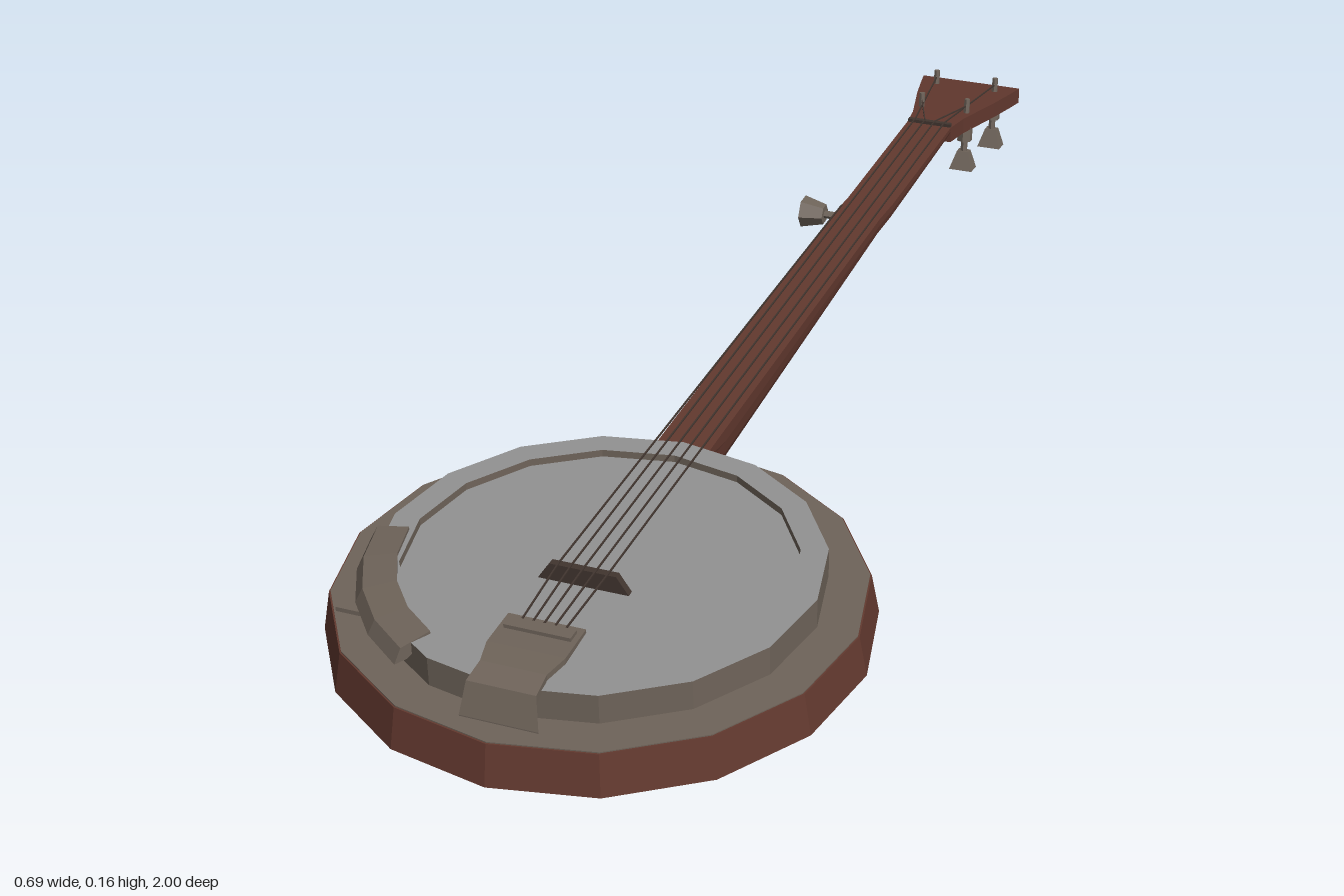
import * as THREE from 'three';

const wood = new THREE.MeshStandardMaterial({ color: 0x63392f });
wood.name = 'dark wood';
const metal = new THREE.MeshStandardMaterial({ color: 0x6f645a });
metal.name = 'aged metal';
const skin = new THREE.MeshStandardMaterial({ color: 0x929292 });
skin.name = 'drum skin';
const dark = new THREE.MeshStandardMaterial({ color: 0x41352f });
dark.name = 'dark bridge wood';

const CZ = 0.655; // centre of the pot
const V = (x, y, z) => new THREE.Vector3(x, y, z);

export function createModel() {
  const model = new THREE.Group();
  model.name = 'banjo';

  // Faceted mesh with hard edges
  function add(name, geometry, material, parent = model) {
    const g = geometry.index ? geometry.toNonIndexed() : geometry;
    g.computeVertexNormals();
    const mesh = new THREE.Mesh(g, material);
    mesh.name = name;
    parent.add(mesh);
    return mesh;
  }

  // Closed skin through rings that run counterclockwise seen from the first end
  function loft(rings) {
    const n = rings[0].length, last = (rings.length - 1) * n, index = [];
    for (let i = 0; i < rings.length - 1; i++) {
      for (let j = 0; j < n; j++) {
        const a = i * n + j, b = i * n + (j + 1) % n, c = b + n, d = a + n;
        index.push(a, c, b, a, d, c);
      }
    }
    for (let j = 1; j < n - 1; j++) {
      index.push(0, j, j + 1, last, last + j + 1, last + j);
    }
    const g = new THREE.BufferGeometry().setFromPoints(rings.flat());
    g.setIndex(index);
    return g;
  }

  // Straight rod between two points
  function rod(name, a, b, width, material, parent = model) {
    const mesh = add(name, new THREE.BoxGeometry(width, width, a.distanceTo(b)), material, parent);
    mesh.position.copy(a).lerp(b, 0.5);
    mesh.lookAt(b);
    return mesh;
  }

  // Pot: wooden back, metal flange, hoop and recessed skin
  const SIDES = 16;
  const back = add('resonator', new THREE.CylinderGeometry(0.336, 0.346, 0.055, SIDES), wood);
  back.position.set(0, 0.0715, CZ);
  const flange = add('flange', new THREE.CylinderGeometry(0.334, 0.334, 0.003, SIDES), metal);
  flange.position.set(0, 0.099, CZ);
  const turned = (name, pts, material) => {
    const g = new THREE.LatheGeometry(pts.map(p => new THREE.Vector2(...p)), SIDES);
    add(name, g, material).position.z = CZ;
  };
  turned('hoopWall', [[0.282, 0.1], [0.282, 0.14]], metal);
  turned('hoopTop', [[0.282, 0.14], [0.247, 0.14]], skin);
  turned('hoopInnerWall', [[0.247, 0.14], [0.247, 0.13]], metal);
  turned('head', [[0.247, 0.13], [0, 0.13]], skin);

  // Neck: flat top, rounded back; stations are z, centre x, half width, top y, bottom y
  const neckRing = ([z, cx, w, top, bottom]) => {
    const ring = [V(cx + w, top, z), V(cx - w, top, z)];
    const shoulder = top - 0.25 * (top - bottom);
    for (let k = 0; k <= 8; k++) {
      const a = Math.PI * (1 + k / 8);
      ring.push(V(cx + w * Math.cos(a), shoulder + (shoulder - bottom) * Math.sin(a), z));
    }
    return ring;
  };
  add('neck', loft([
    [0.375, 0, 0.037, 0.136, 0.1],
    [0.316, 0, 0.037, 0.1355, 0.058],
    [-0.36, 0.003, 0.037, 0.13, 0.084],
    [-0.42, 0.006, 0.037, 0.129, 0.087],
    [-0.74, 0.009, 0.038, 0.126, 0.099],
  ].map(neckRing)), wood);

  // Headstock, flaring and leaning back
  add('headstock', loft([
    [-0.735, 0.009, 0.038, 0.126, 0.099],
    [-0.79, 0.009, 0.045, 0.12, 0.093],
    [-0.9, 0.009, 0.07, 0.107, 0.08],
    [-0.965, 0.009, 0.082, 0.099, 0.072],
    [-1, 0.009, 0.088, 0.095, 0.068],
  ].map(([z, cx, w, top, bottom]) => [
    V(cx + w, top, z), V(cx - w, top, z), V(cx - w, bottom, z), V(cx + w, bottom, z),
  ])), wood);
  add('nut', new THREE.BoxGeometry(0.074, 0.007, 0.008), dark).position.set(0.009, 0.128, -0.738);

  // Tuning pegs: post, collar and a flared button
  function buildPeg(name, x, y, z) {
    const peg = new THREE.Group();
    peg.name = name;
    peg.position.set(x, y, z);
    const cyl = (part, rTop, rBottom, y0, y1, sides) => {
      const m = add(part, new THREE.CylinderGeometry(rTop, rBottom, y1 - y0, sides), metal, peg);
      m.position.y = (y0 + y1) / 2;
      return m;
    };
    cyl('post', 0.005, 0.006, -0.075, 0.024, 6);
    cyl('collar', 0.013, 0.013, -0.05, -0.024, 6);
    const button = cyl('button', 0.014, 0.028, -0.1, -0.068, 4);
    button.geometry.rotateY(Math.PI / 4);
    button.scale.z = 0.8;
    model.add(peg);
    return peg;
  }
  const posts = [[-0.045, 0.099, -0.965], [-0.031, 0.116, -0.825], [0.049, 0.116, -0.825], [0.061, 0.099, -0.965]];
  posts.forEach((p, i) => {
    buildPeg('tuningPeg' + (i + 1), ...p).rotation.set(-0.115, 0, 0);
  });

  // Short-string peg on the side of the neck
  const side = new THREE.Group();
  side.name = 'sidePeg';
  side.position.set(-0.065, 0.113, -0.38);
  const shaft = add('shaft', new THREE.CylinderGeometry(0.006, 0.006, 0.06, 6), metal, side);
  shaft.rotation.z = Math.PI / 2;
  shaft.position.x = 0.015;
  const knob = add('button', new THREE.CylinderGeometry(0.016, 0.025, 0.036, 6), metal, side);
  knob.rotation.z = -Math.PI / 2;
  knob.position.x = -0.01;
  model.add(side);

  // Bridge
  const trapezoid = new THREE.Shape([
    new THREE.Vector2(-0.06, 0.13), new THREE.Vector2(0.06, 0.13),
    new THREE.Vector2(0.044, 0.154), new THREE.Vector2(-0.044, 0.154),
  ]);
  add('bridge', new THREE.ExtrudeGeometry(trapezoid, { depth: 0.01, bevelEnabled: false }), dark).position.z = 0.7;

  // Tailpiece: flat plate bending down over the hoop
  const plate = (w, y, z, t) => [V(w, y, z), V(-w, y, z), V(-w, y - t, z), V(w, y - t, z)];
  add('tailpiece', loft([
    plate(0.05, 0.102, 0.956, 0.002),
    plate(0.044, 0.144, 0.944, 0.012),
    plate(0.042, 0.149, 0.91, 0.008),
    plate(0.05, 0.15, 0.875, 0.008),
    plate(0.05, 0.15, 0.815, 0.005),
  ]), metal);
  const clamp = add('tailpieceClamp', new THREE.BoxGeometry(0.086, 0.008, 0.018), metal);
  clamp.position.set(0, 0.151, 0.835);

  // Armrest curving along the hoop
  const section = [[0.284, 0.12], [0.302, 0.12], [0.292, 0.139], [0.25, 0.144], [0.25, 0.14]];
  const armRings = [];
  for (let k = 0; k <= 4; k++) {
    const a = THREE.MathUtils.degToRad(6 + 13.5 * k);
    armRings.push(section.map(([r, y]) => V(-r * Math.cos(a), y, CZ + r * Math.sin(a))));
  }
  add('armrest', loft(armRings), metal);
  const bracket = add('armrestBracket', new THREE.BoxGeometry(0.05, 0.006, 0.02), metal);
  bracket.position.set(-0.25, 0.112, CZ + 0.165);

  // Strings: tailpiece, bridge, nut, then post; the first one stops at the side peg
  for (let i = 0; i < 5; i++) {
    const s = i - 2;
    const path = [V(s * 0.014, 0.152, 0.83), V(s * 0.0165, 0.155, 0.705)];
    if (i === 0) {
      path.push(V(-0.029, 0.134, -0.38));
    } else {
      const [x, y, z] = posts[i - 1];
      path.push(V(0.009 + (i - 2.5) * 0.017, 0.132, -0.738), V(x, y + 0.012, z));
    }
    for (let k = 0; k < path.length - 1; k++) {
      rod('string' + (i + 1), path[k], path[k + 1], 0.002, dark);
    }
  }

  return model;
}
